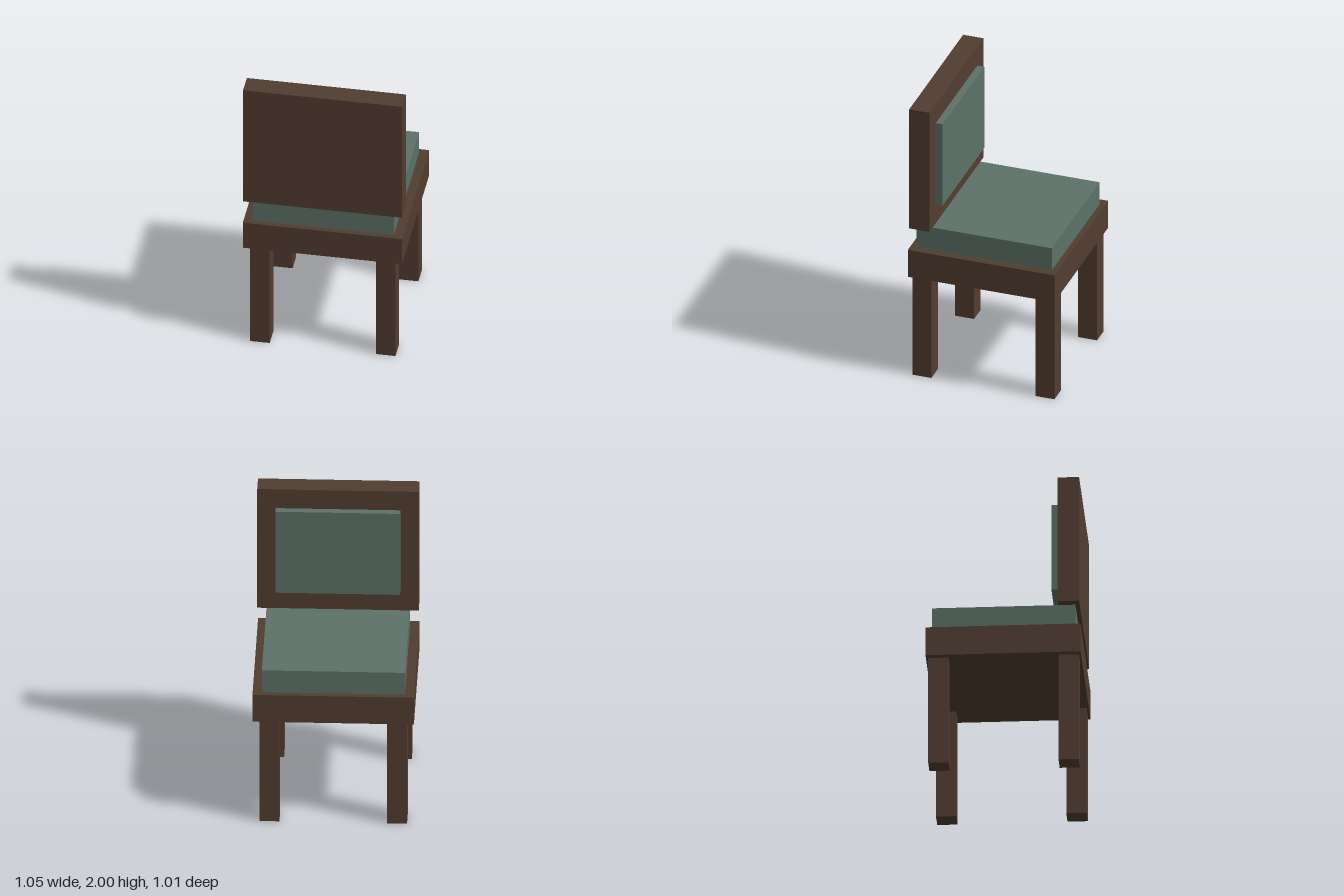
import * as THREE from 'three';

export function createModel() {
  const model = new THREE.Group();
  model.name = 'chair';
  const wood = new THREE.MeshStandardMaterial({ color: 0x523d31 });
  const fabric = new THREE.MeshStandardMaterial({ color: 0x5c7268 });

  // Box given by its minimum and maximum corners
  function block(name, material, [x0, y0, z0], [x1, y1, z1]) {
    const mesh = new THREE.Mesh(new THREE.BoxGeometry(x1 - x0, y1 - y0, z1 - z0), material);
    mesh.position.set((x0 + x1) / 2, (y0 + y1) / 2, (z0 + z1) / 2);
    mesh.name = name;
    model.add(mesh);
    return mesh;
  }

  // Seat frame and cushion
  block('seatFrame', wood, [-0.525, 0.75, -0.505], [0.525, 0.95, 0.505]);
  block('seatCushion', fabric, [-0.465, 0.95, -0.467], [0.465, 1.113, 0.467]);

  // Backrest panel rests on the cushion at the +z end, its pad faces the seat
  block('backrest', wood, [-0.525, 1.113, 0.355], [0.525, 2, 0.495]);
  block('backrestPad', fabric, [-0.405, 1.255, 0.307], [0.405, 1.86, 0.355]);

  // Four square legs, mirrored about the centre
  for (const sx of [-1, 1]) {
    for (const sz of [-1, 1]) {
      const leg = block((sx > 0 ? 'left' : 'right') + (sz > 0 ? 'Front' : 'Back') + 'Leg',
        wood, [-0.065, 0, -0.066], [0.065, 0.75, 0.066]);
      leg.position.x = sx * 0.415;
      leg.position.z = sz * 0.424;
    }
  }

  return model;
}
